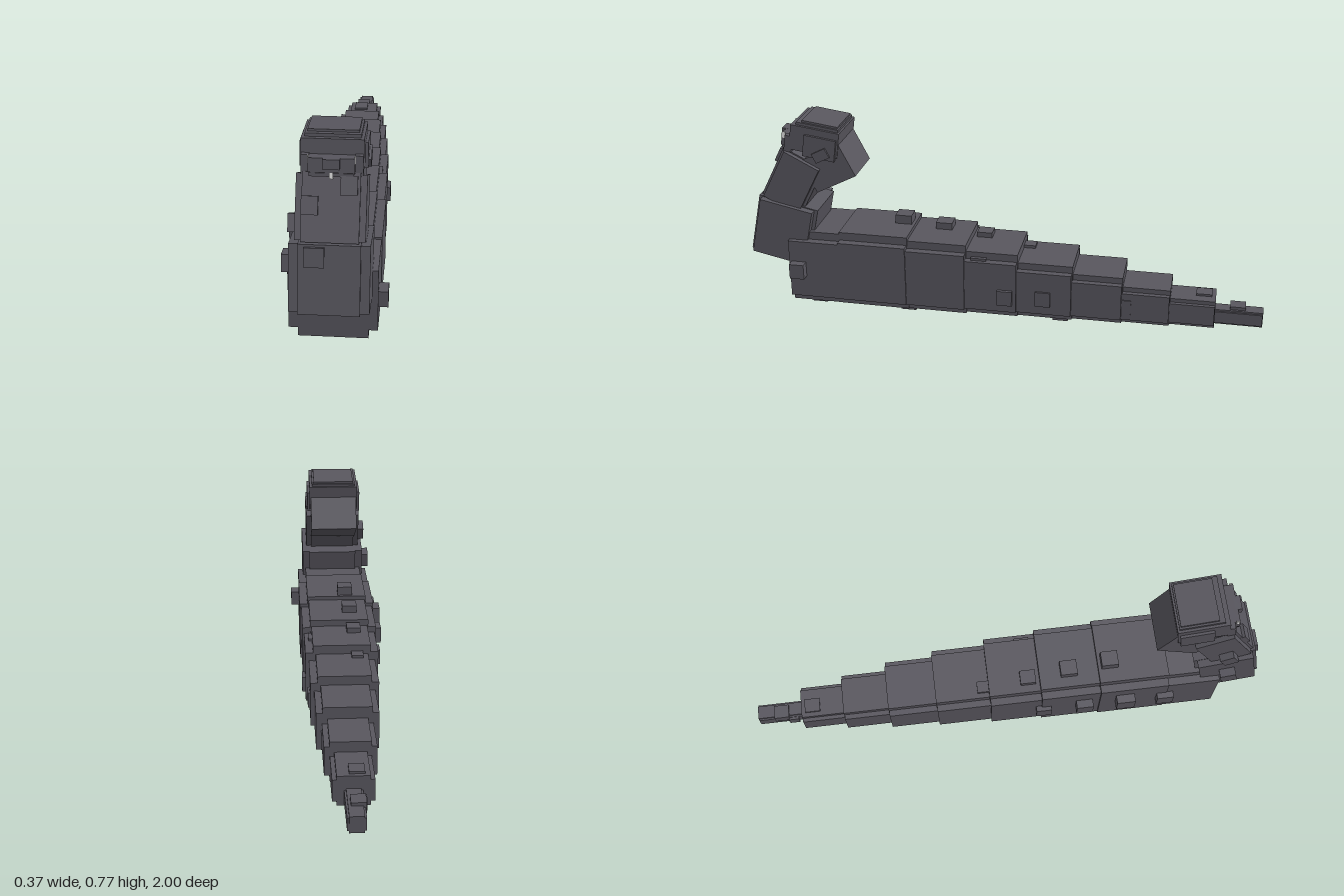
import * as THREE from 'three';

const hide = new THREE.MeshStandardMaterial({ color: 0x58565e });
hide.name = 'slate grey hide';
const ivory = new THREE.MeshStandardMaterial({ color: 0xe6e6e6 });
ivory.name = 'pale teeth';

function block(parent, name, [x, y, z], [w, h, d], mat = hide) {
  const m = new THREE.Mesh(new THREE.BoxGeometry(w, h, d), mat);
  m.name = name;
  m.position.set(x, y, z);
  parent.add(m);
  return m;
}

// A group leaning backwards by the given angle
function joint(parent, name, y, z, lean) {
  const g = new THREE.Group();
  g.name = name;
  g.position.set(0, y, z);
  g.rotation.x = -THREE.MathUtils.degToRad(lean);
  parent.add(g);
  return g;
}

export function createModel() {
  const model = new THREE.Group();
  model.name = 'blockSerpent';

  // Tapering body: front z, back z, half width, bottom, top
  const segments = [
    [0.83, 0.62, 0.15, 0.025, 0.322],
    [0.63, 0.36, 0.152, 0.025, 0.33],
    [0.37, 0.13, 0.146, 0.025, 0.315],
    [0.14, -0.07, 0.14, 0.03, 0.29],
    [-0.06, -0.28, 0.127, 0.03, 0.255],
    [-0.27, -0.47, 0.113, 0.03, 0.22],
    [-0.46, -0.65, 0.092, 0.027, 0.176],
    [-0.64, -0.82, 0.072, 0.027, 0.137],
    [-0.81, -1.0, 0.032, 0.03, 0.09],
  ];
  segments.forEach(([z0, z1, hw, y0, y1], i) => {
    const g = joint(model, 'bodySegment' + (i + 1), (y0 + y1) / 2, (z0 + z1) / 2, 0);
    const h = y1 - y0, d = z0 - z1, inset = hw * 0.21;
    block(g, 'segmentCore', [0, 0, 0], [2 * (hw - inset), h, d]);
    block(g, 'segmentSides', [0, 0, 0], [2 * hw, h - 2 * inset, d - 0.004]);
  });

  // Scale bumps on the left flank: outer x, y, z
  for (const [x, y, z] of [[0.183, 0.175, 0.79], [0.153, 0.122, -0.025], [0.135, 0.122, -0.17], [0.112, 0.112, -0.315], [0.096, 0.1, -0.475]])
    block(model, 'leftScale', [x - 0.025, y, z], [0.05, 0.06, 0.058]);

  // Scale bumps on the right flank
  for (const [x, y, z, s] of [[-0.175, 0.185, 0.62, 0.065], [-0.185, 0.212, 0.46, 0.072], [-0.178, 0.19, 0.3, 0.065],
    [-0.162, 0.16, 0.14, 0.06], [-0.086, 0.09, -0.61, 0.05], [-0.064, 0.08, -0.735, 0.05], [-0.042, 0.06, -0.86, 0.04]])
    block(model, 'rightScale', [x + 0.025, y, z], [0.05, s, s]);

  // Scale bumps along the back: x, top y, z
  for (const [x, y, z, s] of [[-0.035, 0.365, 0.405, 0.065], [-0.045, 0.342, 0.245, 0.065], [-0.053, 0.31, 0.085, 0.06],
    [-0.058, 0.266, -0.09, 0.05], [-0.012, 0.145, -0.775, 0.06], [-0.01, 0.102, -0.905, 0.058]])
    block(model, 'backScale', [x, y - 0.02, z], [s * 0.9, 0.04, s]);
  block(model, 'shoulderScale', [0.11, 0.245, 0.08], [0.03, 0.05, 0.06]);

  // Scale bumps under the belly: x, bottom y, z
  for (const [x, y, z] of [[0.055, 0.003, 0.735], [-0.07, 0.013, 0.59], [0.075, 0.013, 0.365], [0.03, 0, -0.23], [-0.04, 0.015, -0.365], [0.02, 0.02, -0.51]])
    block(model, 'bellyScale', [x, y + 0.018, z], [0.062, 0.036, 0.06]);

  // Lower neck
  const lower = joint(model, 'lowerNeck', 0.315, 0.857, 12);
  block(lower, 'neckCore', [0, 0, 0], [0.2, 0.235, 0.238]);
  block(lower, 'neckSides', [0, 0, 0], [0.26, 0.228, 0.21]);
  block(lower, 'neckFrontScale', [-0.047, 0.077, 0.11], [0.065, 0.065, 0.04]);
  block(lower, 'neckSideScale', [-0.14, 0.02, 0], [0.045, 0.06, 0.06]);

  // Upper neck
  const upper = joint(model, 'upperNeck', 0.517, 0.813, 27);
  block(upper, 'neckCore', [0, 0, 0], [0.185, 0.222, 0.172]);
  block(upper, 'neckSides', [0, 0, 0], [0.226, 0.212, 0.15]);
  block(upper, 'neckFrontScale', [-0.066, 0.005, 0.08], [0.054, 0.06, 0.035]);
  block(upper, 'neckFrontScale', [0.057, 0.07, 0.08], [0.054, 0.06, 0.035]);
  block(upper, 'neckSideScale', [-0.118, -0.055, 0], [0.045, 0.06, 0.055]);

  // Nape block leaning the other way, behind and under the head
  const nape = joint(model, 'nape', 0.582, 0.668, -27);
  block(nape, 'napeCore', [0, 0, 0], [0.19, 0.14, 0.175]);
  block(nape, 'napeScale', [0.1, 0.06, -0.01], [0.036, 0.04, 0.06]);

  // Head
  const head = joint(model, 'head', 0.685, 0.715, 8);
  block(head, 'skull', [0, 0.005, 0], [0.2, 0.1, 0.19]);
  block(head, 'cheeks', [0, -0.015, -0.025], [0.22, 0.085, 0.125]);
  block(head, 'crown', [0, 0.055, -0.005], [0.18, 0.022, 0.165]);
  block(head, 'crownTop', [0, 0.064, -0.012], [0.165, 0.02, 0.14]);
  block(head, 'snout', [0, -0.02, 0.105], [0.148, 0.048, 0.06]);
  block(head, 'noseTip', [0, -0.012, 0.138], [0.054, 0.033, 0.025]);
  block(head, 'lowerLip', [0, -0.052, 0.105], [0.142, 0.012, 0.055]);
  for (const s of [-1, 1]) {
    block(head, 'jowl', [s * 0.086, -0.025, 0.1], [0.026, 0.065, 0.03]);
    block(head, 'fang', [s * 0.0745, -0.002, 0.127], [0.004, 0.025, 0.012], ivory);
  }
  block(head, 'frontTooth', [0, -0.054, 0.133], [0.012, 0.02, 0.008], ivory);

  return model;
}
